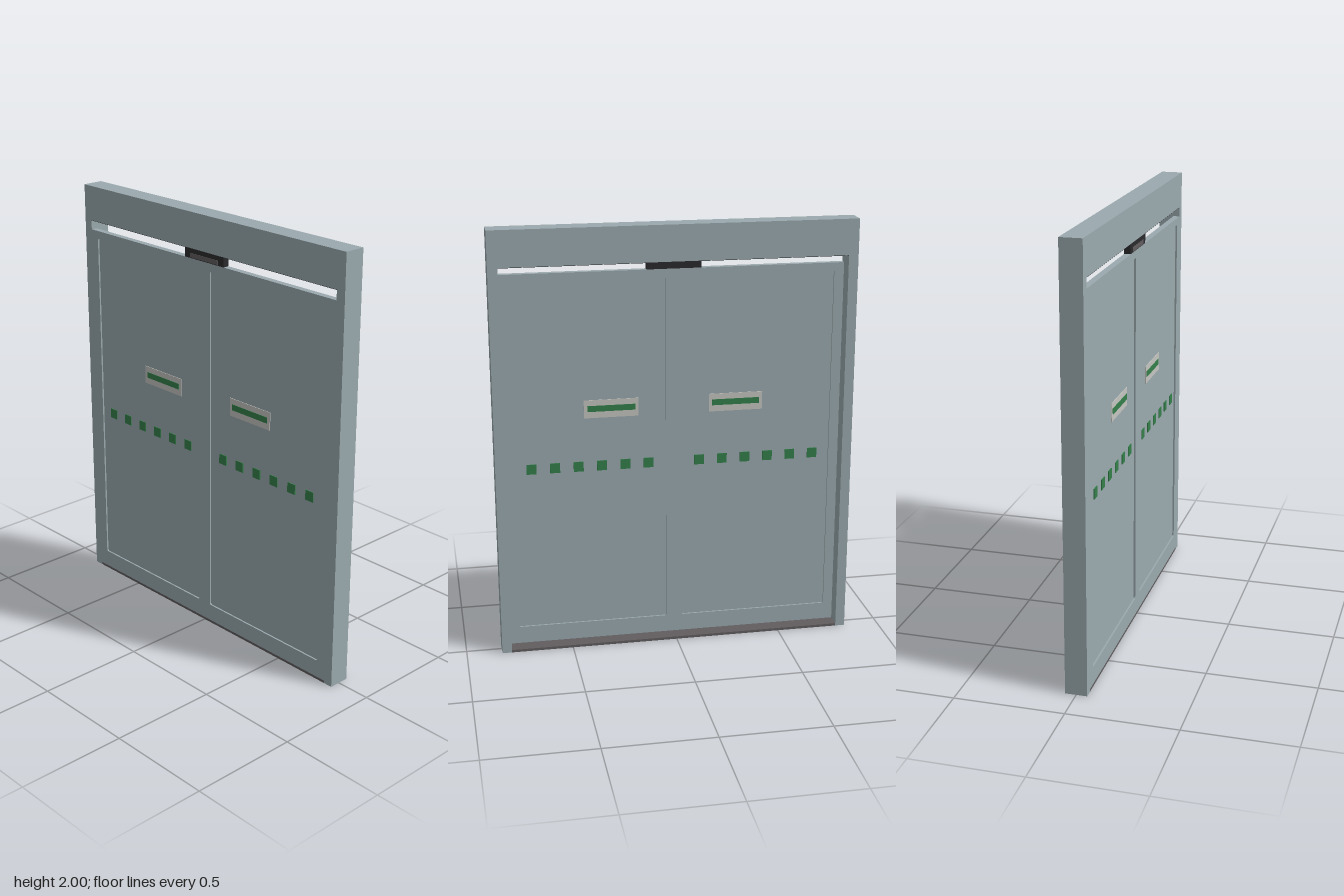
import * as THREE from 'three';

const mat = (name, color) => {
  const m = new THREE.MeshStandardMaterial({ color });
  m.name = name;
  return m;
};

export function createModel() {
  const metal = mat('blue grey metal', 0x9baaaf);
  const black = mat('black plastic', 0x2b2b2d);
  const grey = mat('dark grey', 0x625d60);
  const white = mat('pale sign', 0xc5c6c0);
  const green = mat('green', 0x34804a);

  const model = new THREE.Group();
  model.name = 'doubleDoor';

  // Box given by its low and high limits on each axis
  const box = (parent, name, material, [x0, x1], [y0, y1], [z0, z1]) => {
    const mesh = new THREE.Mesh(new THREE.BoxGeometry(x1 - x0, y1 - y0, z1 - z0), material);
    mesh.position.set((x0 + x1) / 2, (y0 + y1) / 2, (z0 + z1) / 2);
    mesh.name = name;
    parent.add(mesh);
    return mesh;
  };

  const W = 0.835, IN = 0.79, D = 0.05, HEAD = 1.835, LEAF_TOP = 1.79, SILL = 0.012;
  const leafZ = [0.02, D], panelZ = [0.028, 0.042];

  // Surrounding frame: one upside-down U
  const u = new THREE.Shape([
    [-W, 0], [-IN, 0], [-IN, HEAD], [IN, HEAD], [IN, 0], [W, 0], [W, 2], [-W, 2],
  ].map(([x, y]) => new THREE.Vector2(x, y)));
  const frame = new THREE.Mesh(new THREE.ExtrudeGeometry(u, { depth: 2 * D, bevelEnabled: false }), metal);
  frame.position.z = -D;
  frame.name = 'frame';
  model.add(frame);

  // Dark lining under the head, and the floor threshold
  box(model, 'headLining', black, [-IN, IN], [HEAD - 0.002, HEAD], [-D, D - 0.001]);
  box(model, 'threshold', grey, [-IN, IN], [0, SILL], [-D, D]);

  // Motion sensor in the slot above the leaves
  box(model, 'sensorBody', black, [-0.125, 0.125], [LEAF_TOP, HEAD], [0.02, D]);
  box(model, 'sensorLens', grey, [-0.09, 0.09], [LEAF_TOP + 0.003, 1.814], [D - 0.001, D + 0.001]);

  // Rounded opening for a panel
  const opening = (x0, x1, y0, y1, r) => {
    const p = new THREE.Path();
    p.moveTo(x0 + r, y0);
    p.lineTo(x1 - r, y0);
    p.absarc(x1 - r, y0 + r, r, -Math.PI / 2, 0);
    p.lineTo(x1, y1 - r);
    p.absarc(x1 - r, y1 - r, r, 0, Math.PI / 2);
    p.lineTo(x0 + r, y1);
    p.absarc(x0 + r, y1 - r, r, Math.PI / 2, Math.PI);
    p.lineTo(x0, y0 + r);
    p.absarc(x0 + r, y0 + r, r, Math.PI, Math.PI * 1.5);
    return p;
  };

  for (const side of [-1, 1]) {
    const leaf = new THREE.Group();
    leaf.name = side > 0 ? 'leftLeaf' : 'rightLeaf';
    model.add(leaf);
    const span = (a, b) => (side > 0 ? [a, b] : [-b, -a]);

    // Leaf border with an opening
    const [x0, x1] = span(0, IN);
    const outline = new THREE.Shape([
      [x0, SILL], [x1, SILL], [x1, LEAF_TOP], [x0, LEAF_TOP],
    ].map(([x, y]) => new THREE.Vector2(x, y)));
    outline.holes.push(opening(...span(0.038, 0.745), 0.095, 1.755, 0.008));
    const border = new THREE.Mesh(new THREE.ExtrudeGeometry(outline,
      { depth: leafZ[1] - leafZ[0], bevelEnabled: false, curveSegments: 4 }), metal);
    border.position.z = leafZ[0];
    border.name = 'leafBorder';
    leaf.add(border);

    // Recessed panel
    box(leaf, 'panel', metal, span(0.03, 0.755), [0.085, 1.765], panelZ);

    // Thin signs and safety squares on both faces of the panel
    for (const face of [-1, 1]) {
      const z = face > 0 ? panelZ[1] : panelZ[0];
      const raise = (t) => (face > 0 ? [z, z + t] : [z - t, z]);
      box(leaf, 'sign', white, span(0.165, 0.418), [1.11, 1.195], raise(0.003));
      box(leaf, 'signBar', green, span(0.18, 0.402), [1.14, 1.168], raise(0.005));
      for (let i = 0; i < 6; i++) {
        const c = 0.12 + 0.109 * i;
        box(leaf, 'safetySquare', green, span(c - 0.023, c + 0.023), [0.855, 0.902], raise(0.004));
      }
    }
  }
  return model;
}
